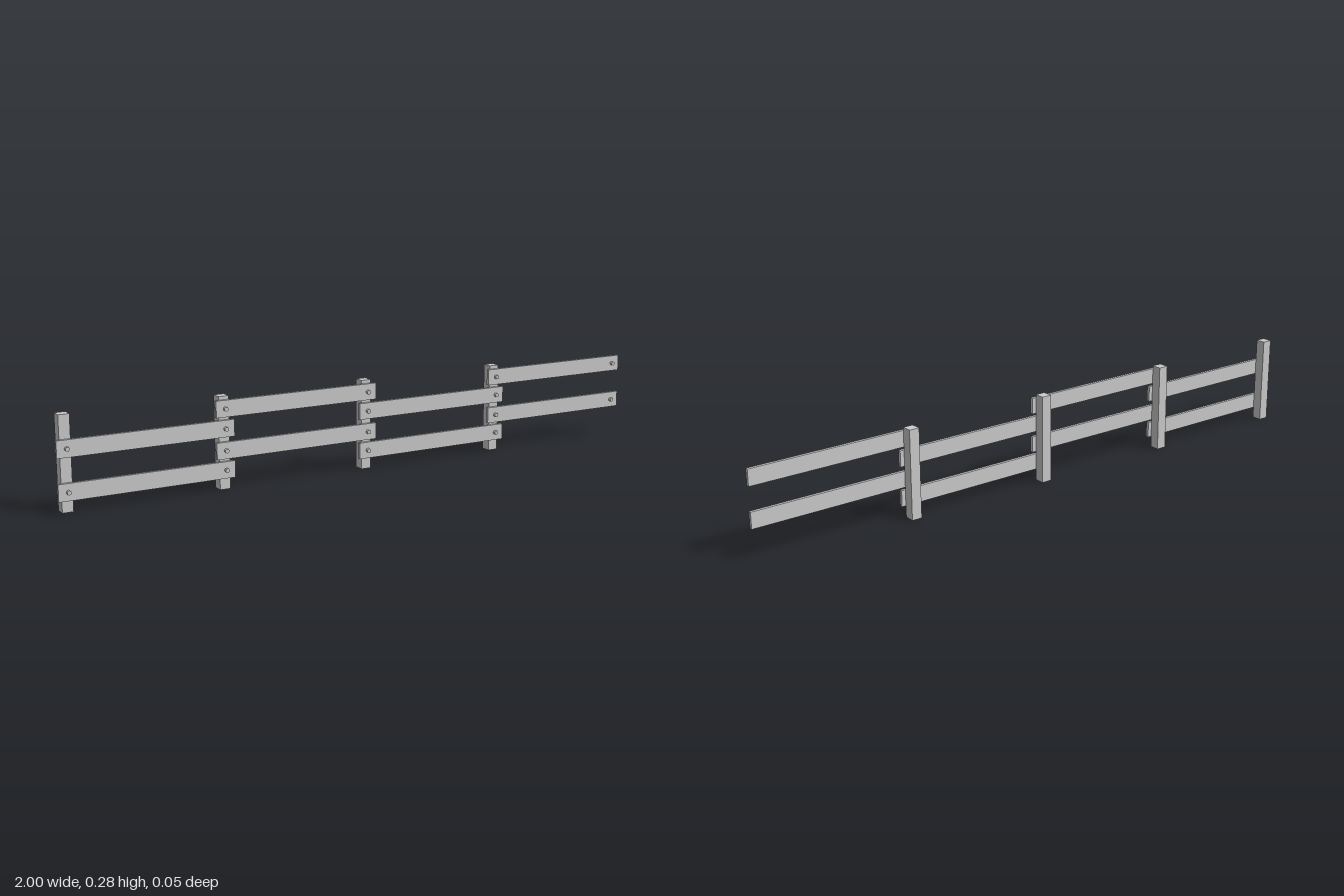
import * as THREE from 'three';

const material = new THREE.MeshStandardMaterial({ color: 0xcccccc, flatShading: true });

export function createModel() {
  const fence = new THREE.Group();
  fence.name = 'railFence';

  const add = (name, geometry, x, y, z) => {
    const mesh = new THREE.Mesh(geometry, material);
    mesh.name = name;
    mesh.position.set(x, y, z);
    fence.add(mesh);
  };

  const spacing = 0.485, firstPost = -0.972;
  const postGeo = new THREE.BoxGeometry(0.033, 0.282, 0.033);
  const railGeo = new THREE.BoxGeometry(0.543, 0.051, 0.01);
  const boltGeo = new THREE.CylinderGeometry(0.0065, 0.0065, 0.012, 12).rotateX(Math.PI / 2);

  // Alternating bays carry a low or a high pair of rails
  const railHeights = [[0.061, 0.186], [0.12, 0.246]];

  for (let bay = 0; bay < 4; bay++) {
    const x = firstPost + bay * spacing;
    add('post', postGeo, x, 0.141, -0.0095);

    for (const y of railHeights[bay % 2]) {
      add('rail', railGeo, x + spacing / 2, y, 0.013);
      // One bolt near each end of the rail
      for (const boltX of [x, x + spacing]) add('bolt', boltGeo, boltX, y, 0.021);
    }
  }
  return fence;
}
